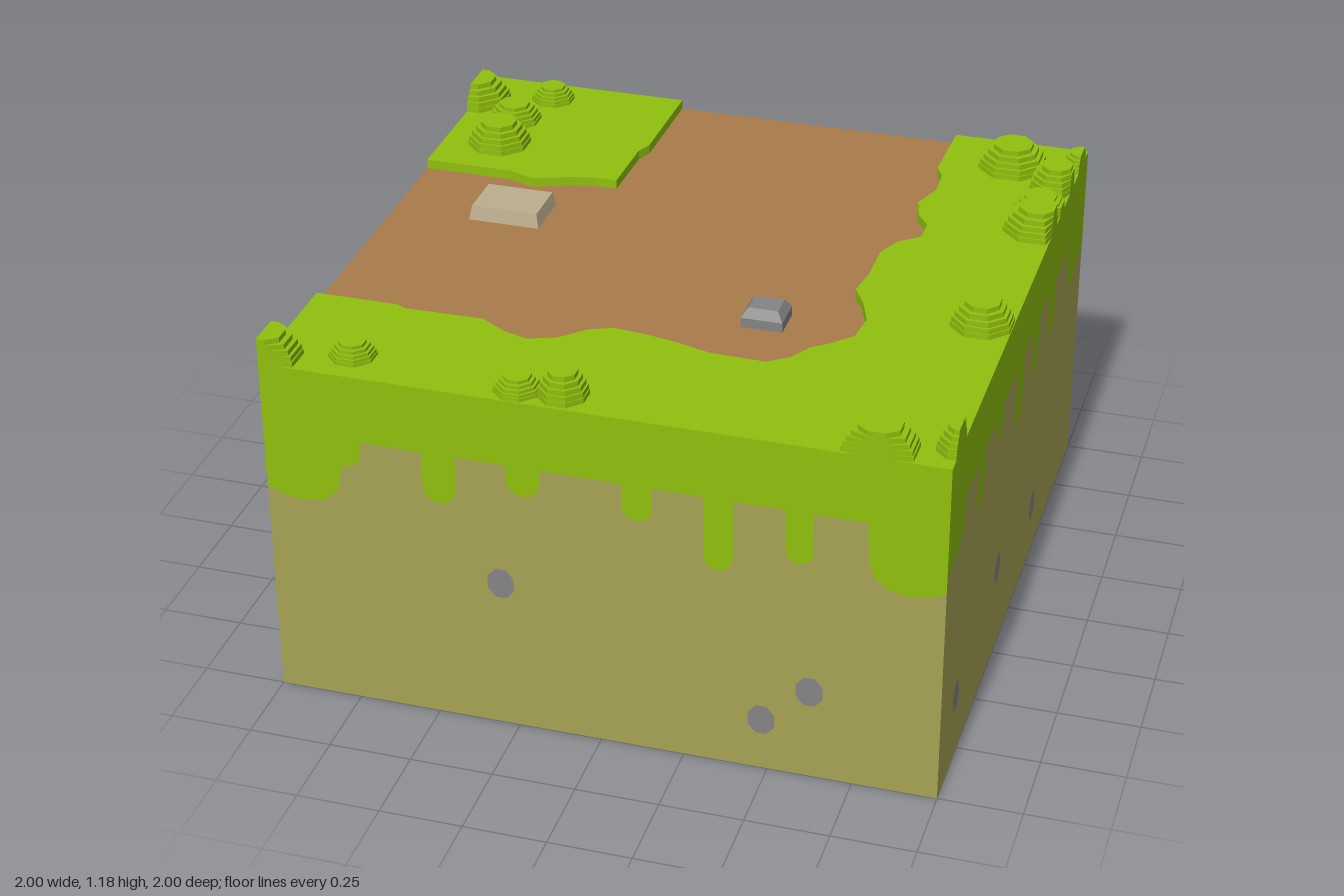
import * as THREE from 'three';

const mat = (name, color) => {
  const m = new THREE.MeshStandardMaterial({ color, flatShading: true });
  m.name = name;
  return m;
};

const TOP = 1.1, PATH_TOP = 1.07, SLAB_BASE = 1.02, FRINGE = 0.89;

// Path borders as [x, z]: the long outer border and the inner corner border
const OUTER = [
  [0.57, -1], [0.565, -0.75], [0.59, -0.7], [0.595, -0.6], [0.56, -0.5], [0.58, -0.42],
  [0.62, -0.36], [0.62, -0.28], [0.56, -0.23], [0.525, -0.15], [0.525, 0], [0.51, 0.1],
  [0.55, 0.17], [0.585, 0.27], [0.575, 0.37], [0.52, 0.43], [0.47, 0.47], [0.43, 0.54],
  [0.37, 0.585], [0.2, 0.58], [0.1, 0.55], [0, 0.53], [-0.1, 0.52], [-0.17, 0.55],
  [-0.24, 0.62], [-0.32, 0.65], [-0.39, 0.63], [-0.48, 0.575], [-0.72, 0.58],
  [-0.75, 0.565], [-1, 0.565],
];
const INNER = [
  [-1, -0.35], [-0.72, -0.35], [-0.64, -0.32], [-0.53, -0.36], [-0.45, -0.38],
  [-0.38, -0.38], [-0.375, -0.6], [-0.355, -0.65], [-0.35, -1],
];

// Grass fringe of each side: end points [u, y] and drips [centre, half width, tip]
const SIDES = [
  { name: 'front', turn: 0,
    start: [[-1, 0.7], [-0.95, 0.675], [-0.89, 0.665], [-0.82, 0.68], [-0.78, 0.72], [-0.765, 0.8], [-0.73, 0.81], [-0.71, 0.83], [-0.705, FRINGE]],
    drips: [[-0.47, 0.05, 0.73], [-0.22, 0.05, 0.795], [0.115, 0.045, 0.775], [0.35, 0.043, 0.655], [0.583, 0.04, 0.72]],
    end: [[0.775, FRINGE], [0.78, 0.76], [0.8, 0.71], [0.84, 0.68], [0.9, 0.67], [0.96, 0.68], [1, 0.7]],
    pebbles: [[-0.295, 0.49], [0.48, 0.17], [0.62, 0.295]] },
  { name: 'right', turn: Math.PI / 2,
    start: [[-1, 0.73], [-0.95, 0.75], [-0.85, 0.76], [-0.8, 0.79], [-0.78, 0.83], [-0.775, FRINGE]],
    drips: [[-0.57, 0.042, 0.72], [-0.325, 0.045, 0.8], [-0.02, 0.05, 0.67], [0.22, 0.042, 0.72], [0.475, 0.05, 0.73]],
    end: [[0.735, FRINGE], [0.74, 0.79], [0.77, 0.74], [0.82, 0.72], [0.88, 0.735], [0.93, 0.755], [1, 0.76]],
    pebbles: [[-0.8, 0.22], [-0.24, 0.3], [0.32, 0.18]] },
  { name: 'back', turn: Math.PI,
    start: [[-1, FRINGE]], drips: [[0.84, 0.08, 0.79]], end: [[1, FRINGE]], pebbles: [] },
  { name: 'left', turn: -Math.PI / 2,
    start: [[-1, FRINGE]], drips: [[-0.8, 0.05, 0.79]],
    end: [[0.75, FRINGE], [0.77, 0.8], [0.85, 0.76], [1, 0.76]], pebbles: [] },
];

// Bushes as [x, z, radius, height]
const BUSHES = [
  [-1, -0.82, 0.11, 0.08], [-0.76, -0.89, 0.07, 0.05], [-0.83, -0.71, 0.085, 0.06], [-0.82, -0.53, 0.1, 0.08],
  [0.79, -0.83, 0.11, 0.08], [0.95, -0.72, 0.085, 0.08], [0.93, -0.56, 0.09, 0.05], [0.95, -0.43, 0.11, 0.08],
  [1, -0.89, 0.07, 0.05], [0.91, 0.2, 0.095, 0.08], [0.79, 0.95, 0.11, 0.08], [1, 0.89, 0.07, 0.08],
  [-1, 0.95, 0.11, 0.08], [-0.76, 0.88, 0.07, 0.05], [-0.25, 0.93, 0.07, 0.05], [-0.12, 0.92, 0.075, 0.08],
];

const shapeOf = (pts) => new THREE.Shape(pts.map(([x, y]) => new THREE.Vector2(x, y)));

// Horizontal slab from an [x, z] outline
function slab(outline, y0, y1) {
  const g = new THREE.ExtrudeGeometry(shapeOf(outline.map(([x, z]) => [x, -z])), { depth: y1 - y0, bevelEnabled: false });
  return g.rotateX(-Math.PI / 2).translate(0, y0, 0);
}

// Lower border of the grass: straight with round-tipped drips
function fringe({ start, drips, end }) {
  const pts = [...start];
  for (const [c, w, tip] of drips) {
    pts.push([c - w, FRINGE]);
    for (let i = 0; i <= 8; i++) {
      const a = Math.PI * (1 + i / 8);
      pts.push([c + w * Math.cos(a), tip + w + w * Math.sin(a)]);
    }
    pts.push([c + w, FRINGE]);
  }
  return [...pts, ...end];
}

// Stepped eight-sided dome, cut off at the edge of the block
function bushGeometry(x, z, r, h) {
  const steps = [1, 0.96, 0.87, 0.74, 0.58];
  const profile = [];
  steps.forEach((s, i) => {
    profile.push(new THREE.Vector2(r * s, (h * i) / 5), new THREE.Vector2(r * s, (h * (i + 1)) / 5));
  });
  profile.push(new THREE.Vector2(0, h));
  const g = new THREE.LatheGeometry(profile, 8, Math.PI / 8).translate(x, TOP, z);
  const p = g.attributes.position;
  for (let i = 0; i < p.count; i++) {
    p.setX(i, THREE.MathUtils.clamp(p.getX(i), -1, 1));
    p.setZ(i, THREE.MathUtils.clamp(p.getZ(i), -1, 1));
  }
  return g;
}

// Box with a narrower top
function taperedBlock(w, h, d, inset) {
  const g = new THREE.BoxGeometry(w, h, d);
  const p = g.attributes.position;
  for (let i = 0; i < p.count; i++) {
    if (p.getY(i) < 0) continue;
    p.setX(i, p.getX(i) - Math.sign(p.getX(i)) * inset);
    p.setZ(i, p.getZ(i) - Math.sign(p.getZ(i)) * inset);
  }
  return g;
}

export function createModel() {
  const grass = mat('grass', 0x8fbf0d);
  const soil = mat('soil', 0xa6a355);
  const dirt = mat('path dirt', 0xa97c4a);
  const stone = mat('grey stone', 0x848484);
  const paving = mat('pale stone', 0xbcae8e);
  const model = new THREE.Group();
  model.name = 'terrainBlock';

  const add = (parent, name, geometry, material, x = 0, y = 0, z = 0) => {
    const m = new THREE.Mesh(geometry, material);
    m.name = name;
    m.position.set(x, y, z);
    parent.add(m);
    return m;
  };

  // Four sides: soil below, grass fringe above, pebbles
  for (const side of SIDES) {
    const g = new THREE.Group();
    g.name = side.name + 'Side';
    g.rotation.y = side.turn;
    const edge = fringe(side);
    add(g, 'soilFace', new THREE.ShapeGeometry(shapeOf([[-1, 0], [1, 0], ...[...edge].reverse()])), soil, 0, 0, 1);
    add(g, 'grassFringe', new THREE.ShapeGeometry(shapeOf([...edge, [1, SLAB_BASE], [-1, SLAB_BASE]])), grass, 0, 0, 1);
    for (const [u, y] of side.pebbles) {
      const pebble = new THREE.CircleGeometry(0.045, 8, Math.PI / 8).scale(0.95, 1.15, 1);
      add(g, 'pebble', pebble, stone, u, y, 1.002);
    }
    model.add(g);
  }
  add(model, 'underside', new THREE.PlaneGeometry(2, 2).rotateX(Math.PI / 2), soil);

  // Top: raised lawns around a sunken path
  add(model, 'lawn', slab([...OUTER, [-1, 1], [1, 1], [1, -1]], SLAB_BASE, TOP), grass);
  add(model, 'cornerLawn', slab([...INNER, [-1, -1]], SLAB_BASE, TOP), grass);
  add(model, 'path', slab([...OUTER, ...INNER], SLAB_BASE, PATH_TOP), dirt);

  for (const b of BUSHES) add(model, 'bush', bushGeometry(...b), grass);

  // Loose stones on the path
  add(model, 'pavingStone', taperedBlock(0.225, 0.045, 0.17, 0.008), paving, -0.64, PATH_TOP + 0.0225, -0.14);
  add(model, 'rock', taperedBlock(0.125, 0.03, 0.11, 0), stone, 0.295, PATH_TOP + 0.015, 0.305);
  add(model, 'rockTop', taperedBlock(0.125, 0.028, 0.11, 0.018), stone, 0.295, PATH_TOP + 0.044, 0.305);
  return model;
}
